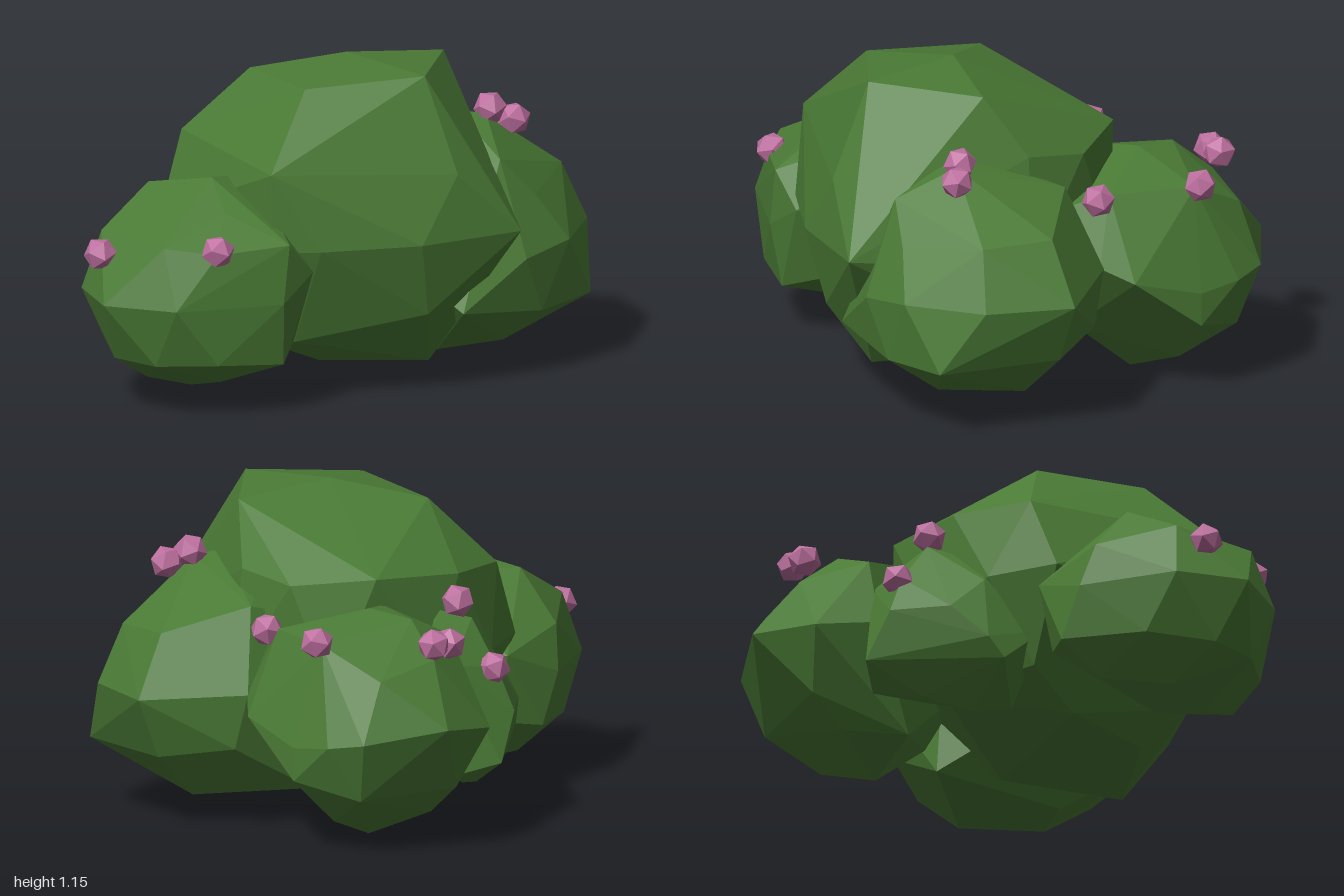
import * as THREE from 'three';
import { ConvexGeometry } from 'three/addons/geometries/ConvexGeometry.js';

const leaf = new THREE.MeshStandardMaterial({ color: 0x4a7a35, flatShading: true });
leaf.name = 'leaf green';
const pink = new THREE.MeshStandardMaterial({ color: 0xbd6f9f, flatShading: true });
pink.name = 'blossom pink';

// Faceted foliage clumps, each the hull of a few corner points
const clumps = {
  mainFoliage: [
    // crown
    [-0.13, 1.08, 0.1], [0.15, 1.15, -0.1], [0.27, 1.1, 0.24], [0.53, 1.13, -0.1], [0.29, 1.115, -0.45], [0, 1.02, -0.4],
    // shoulders
    [-0.39, 0.87, -0.06], [-0.31, 0.9, -0.43], [-0.32, 0.85, 0.25], [0.35, 0.85, 0.5], [0.69, 0.8, -0.1],
    [0.18, 0.9, -0.57], [-0.05, 0.87, -0.59],
    // waist
    [0.79, 0.57, -0.32], [0.68, 0.57, 0.07], [0.48, 0.57, 0.38], [0.36, 0.57, 0.5],
    [-0.31, 0.57, 0.37], [-0.4, 0.57, 0.12], [-0.4, 0.57, -0.2], [0.2, 0.5, -0.62], [-0.2, 0.5, -0.55],
    // underside
    [0.64, 0.3, 0], [0.35, 0.22, 0.38], [-0.25, 0.25, 0.2], [-0.3, 0.25, -0.2], [0.3, 0.11, 0.2],
    [-0.05, 0.13, 0.2], [0.3, 0.07, -0.1], [0.53, 0.09, -0.12], [0.1, 0.08, -0.3], [0.2, 0.2, -0.5],
  ],
  frontFoliage: [
    [-0.17, 0.75, 0.58], [0.08, 0.8, 0.52], [0.22, 0.71, 0.6], [0.05, 0.76, 0.28],
    [-0.17, 0.62, 0.82], [0.17, 0.62, 0.86], [-0.33, 0.57, 0.58], [0.46, 0.62, 0.52], [0.32, 0.6, 0.74],
    [0.01, 0.41, 1], [-0.22, 0.41, 0.87], [0.26, 0.41, 0.89], [-0.37, 0.41, 0.54], [0.46, 0.41, 0.55],
    [-0.37, 0.23, 0.45], [-0.24, 0.21, 0.74], [-0.04, 0.19, 0.89], [0.15, 0.19, 0.88], [0.33, 0.2, 0.75], [0.43, 0.18, 0.52],
    [-0.22, 0.11, 0.5], [0.01, 0.035, 0.55], [0.2, 0.09, 0.6], [-0.06, 0.08, 0.7],
    [-0.33, 0.5, 0.3], [0.46, 0.5, 0.4], [0, 0.25, 0.28], [-0.28, 0.25, 0.32], [0.35, 0.23, 0.38], [0.05, 0.45, 0.14],
  ],
  backLeftFoliage: [
    [0.45, 0.9, -0.5], [0.38, 0.92, -0.42], [0.2, 0.85, -0.42], [0.63, 0.79, -0.38], [0.08, 0.79, -0.65], [0.03, 0.75, -0.5],
    [0.31, 0.7, -0.87], [0.55, 0.69, -0.78], [0.69, 0.65, -0.5],
    [0.31, 0.48, -1], [0.6, 0.48, -0.86], [0.76, 0.48, -0.6], [0.76, 0.45, -0.38], [0, 0.5, -0.77],
    [0.74, 0.24, -0.48], [0.72, 0.25, -0.75], [0.3, 0.26, -0.9], [0.05, 0.3, -0.78], [0.68, 0.28, -0.14],
    [0.53, 0.09, -0.5], [0.3, 0.09, -0.7], [-0.05, 0.12, -0.47], [0.4, 0.07, -0.3], [0.35, 0.5, -0.04],
  ],
  backRightFoliage: [
    [-0.52, 0.8, -0.5], [-0.35, 0.82, -0.52], [-0.3, 0.8, -0.38], [-0.55, 0.72, -0.32], [-0.66, 0.68, -0.55],
    [-0.37, 0.74, -0.82], [-0.08, 0.74, -0.7], [0.05, 0.68, -0.57], [-0.6, 0.63, -0.78],
    [-0.8, 0.46, -0.65], [-0.77, 0.42, -0.37], [-0.61, 0.42, -0.89], [-0.48, 0.4, -0.93], [-0.32, 0.38, -0.92],
    [-0.07, 0.45, -0.86], [0.01, 0.5, -0.76], [-0.58, 0.45, -0.24], [0.05, 0.45, -0.45],
    [-0.32, 0.26, -0.92], [-0.55, 0.2, -0.83], [-0.69, 0.21, -0.46], [-0.08, 0.2, -0.5], [-0.4, 0.08, -0.27],
    [-0.36, 0.09, -0.74], [-0.56, 0.1, -0.44], [-0.33, 0, -0.5],
  ],
  rightFoliage: [
    [-0.4, 0.76, -0.18], [-0.48, 0.73, -0.1], [-0.25, 0.7, 0], [-0.6, 0.57, -0.11], [-0.55, 0.6, -0.3], [-0.42, 0.55, 0.12],
    [-0.67, 0.42, -0.1], [-0.55, 0.42, 0.08], [-0.2, 0.4, 0.2], [-0.2, 0.4, -0.3],
    [-0.69, 0.25, -0.2], [-0.46, 0.3, 0.18], [-0.4, 0.23, 0.2], [-0.55, 0.2, -0.3],
    [-0.5, 0.14, -0.1], [-0.36, 0.1, 0], [-0.24, 0.12, 0.08],
  ],
};

// Blossom centres
const blossoms = [
  [-0.1, 0.56, 0.9], [0.31, 0.61, 0.73], [-0.44, 0.79, -0.13], [-0.6, 0.57, -0.13],
  [-0.675, 0.74, -0.57], [-0.69, 0.735, -0.5], [-0.37, 0.755, -0.85], [-0.03, 0.73, -0.7],
  [0.45, 0.92, -0.52], [0.51, 0.88, -0.58],
];

export function createModel() {
  const bush = new THREE.Group();
  bush.name = 'floweringBush';

  for (const [name, corners] of Object.entries(clumps)) {
    const points = corners.map((p) => new THREE.Vector3(...p));
    const mesh = new THREE.Mesh(new ConvexGeometry(points), leaf);
    mesh.name = name;
    bush.add(mesh);
  }

  const blossomGeometry = new THREE.IcosahedronGeometry(0.061, 0);
  blossoms.forEach((p, i) => {
    const mesh = new THREE.Mesh(blossomGeometry, pink);
    mesh.name = `blossom${i + 1}`;
    mesh.position.set(...p);
    mesh.rotation.set(0.3, i * 0.4, 0);
    bush.add(mesh);
  });
  return bush;
}
